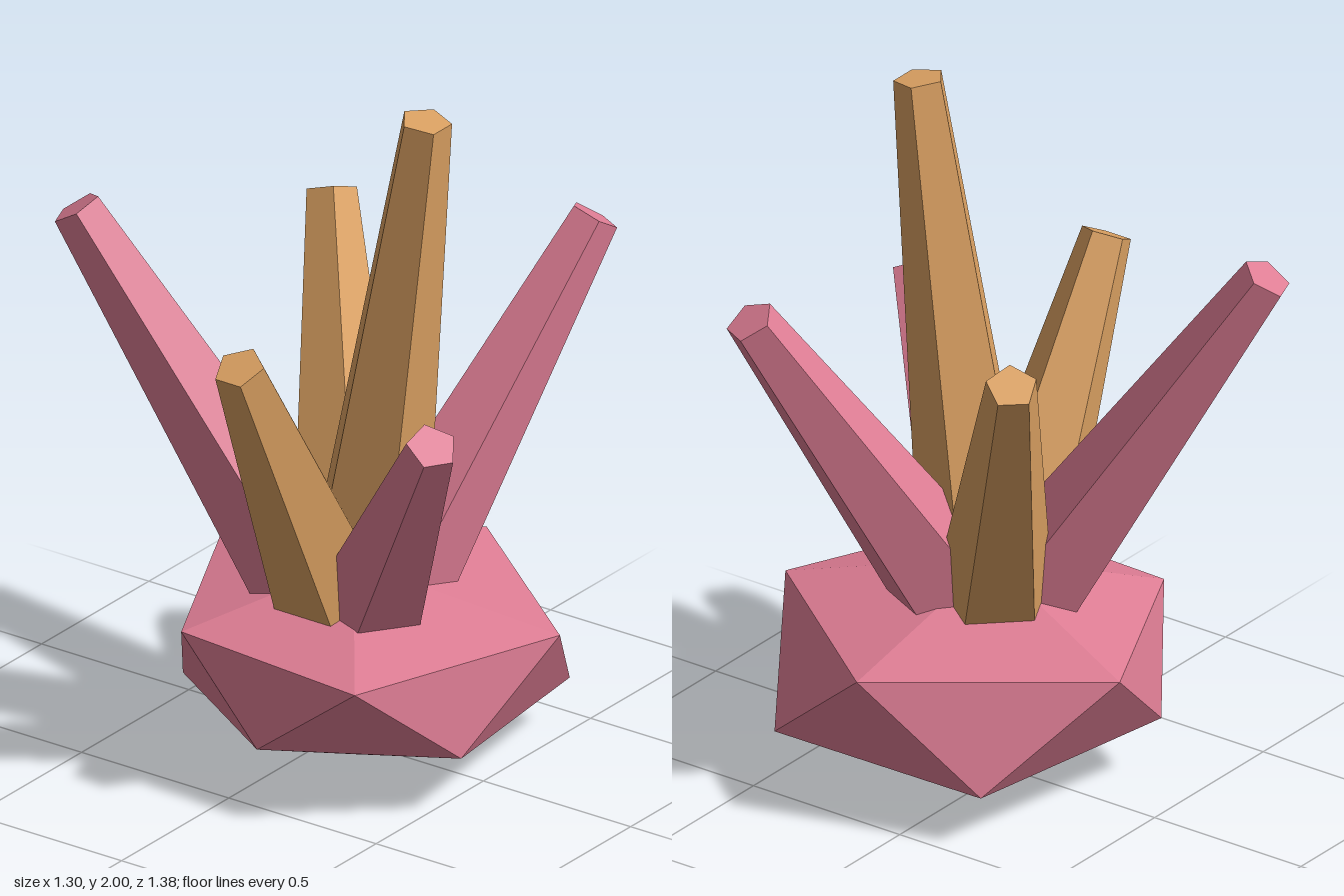
import * as THREE from 'three';
import { ConvexGeometry } from 'three/addons/geometries/ConvexGeometry.js';

const pink = new THREE.MeshStandardMaterial({ name: 'rosePink', color: 0xde7d94, flatShading: true });
const amber = new THREE.MeshStandardMaterial({ name: 'amberBrown', color: 0xdba162, flatShading: true });

// All crystals grow out of this point inside the rock
const ROOT = new THREE.Vector3(-0.07, 0.33, 0.11);

// Tapered five-sided shaft from ROOT to the tip, one edge facing inward
function crystal(name, material, x, y, z) {
  const dir = new THREE.Vector3(x, y, z).sub(ROOT);
  const length = dir.length();
  const geometry = new THREE.CylinderGeometry(0.073, 0.19, length, 5);
  geometry.translate(0, length / 2, 0);
  geometry.rotateX(-Math.atan2(Math.hypot(dir.x, dir.z), dir.y));
  geometry.rotateY(Math.atan2(-dir.x, -dir.z));
  const mesh = new THREE.Mesh(geometry, material);
  mesh.name = name;
  mesh.position.copy(ROOT);
  return mesh;
}

export function createModel() {
  const group = new THREE.Group();
  group.name = 'crystalCluster';

  // Squashed, slightly uneven twenty-sided rock
  const rockPoints = [
    [-0.07, 0.585, 0.11],
    // upper ring
    [0.55, 0.455, 0.11], [0.11, 0.45, 0.68], [-0.51, 0.435, 0.435],
    [-0.475, 0.445, -0.18], [0.12, 0.455, -0.47],
    // lower ring
    [0.43, 0.145, 0.48], [-0.22, 0.175, 0.585], [-0.52, 0.185, 0.11],
    [-0.22, 0.175, -0.36], [0.43, 0.15, -0.225],
    [-0.07, 0, 0.11],
  ].map((p) => new THREE.Vector3(...p));
  const rock = new THREE.Mesh(new ConvexGeometry(rockPoints), pink);
  rock.name = 'rockBase';
  group.add(rock);

  // Crystals, placed by the centre of each tip
  group.add(
    crystal('tallCrystal', amber, -0.07, 1.988, 0.355),
    crystal('backLeftCrystal', amber, 0.395, 1.425, -0.305),
    crystal('rightCrystal', amber, -0.598, 1.372, 0.107),
    crystal('backRightCrystal', pink, -0.345, 1.56, -0.63),
    crystal('frontLeftCrystal', pink, 0.588, 1.48, 0.447),
    crystal('frontRightCrystal', pink, -0.403, 1.2, 0.62),
  );
  return group;
}
